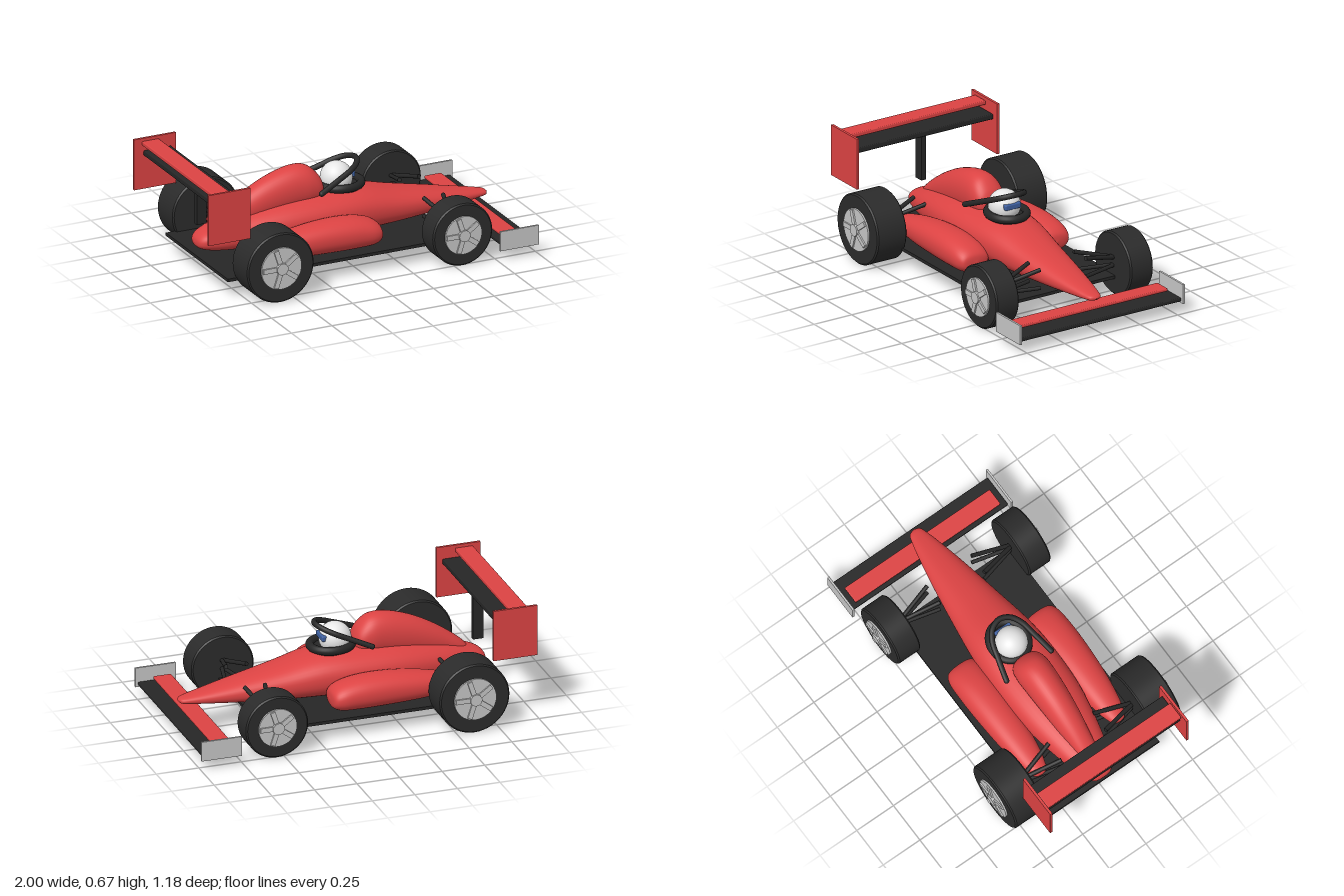
import * as THREE from 'three';
import { toCreasedNormals } from 'three/addons/utils/BufferGeometryUtils.js';
import { RoundedBoxGeometry } from 'three/addons/geometries/RoundedBoxGeometry.js';

const mat = (name, color) => {
  const m = new THREE.MeshStandardMaterial({ color });
  m.name = name;
  return m;
};

// Smooth hull through sections [x, bottom, top, halfWidth] with superellipse outlines
function loft(sections, power = 2.3, rows = 64, cols = 40) {
  const path = (k) => new THREE.CatmullRomCurve3(
    sections.map((s) => new THREE.Vector3(s[0], s[k], k === 1 ? s[2] : s[3])), false, 'centripetal');
  const heights = path(1);
  const widths = new THREE.CatmullRomCurve3(
    sections.map((s) => new THREE.Vector3(s[0], s[3], 0)), false, 'centripetal');
  const bend = (v) => Math.sign(v) * Math.abs(v) ** (2 / power);
  const pos = [], index = [];
  for (let i = 0; i <= rows; i++) {
    const h = heights.getPoint(i / rows);
    const w = Math.max(widths.getPoint(i / rows).y, 0.0005);
    const mid = (h.y + h.z) / 2, half = Math.max((h.z - h.y) / 2, 0.0005);
    for (let j = 0; j < cols; j++) {
      const t = (j / cols) * Math.PI * 2;
      pos.push(h.x, mid + half * bend(Math.sin(t)), w * bend(Math.cos(t)));
      if (i < rows) {
        const a = i * cols + j, c = i * cols + (j + 1) % cols;
        index.push(a, a + cols, c, a + cols, c + cols, c);
      }
    }
  }
  const g = new THREE.BufferGeometry();
  g.setAttribute('position', new THREE.Float32BufferAttribute(pos, 3));
  g.setIndex(index);
  g.computeVertexNormals();
  return g;
}

export function createModel() {
  const red = mat('red paint', 0xdc4343);
  const dark = mat('dark carbon', 0x262626);
  const rubber = mat('tyre rubber', 0x2b2b2b);
  const grey = mat('light grey', 0xc6c6c6);
  const white = mat('helmet white', 0xeeeeee);
  const blue = mat('visor blue', 0x3d5f9f);

  const model = new THREE.Group();
  model.name = 'racingCar';
  const add = (name, geometry, material, x = 0, y = 0, z = 0, parent = model) => {
    const m = new THREE.Mesh(geometry, material);
    m.name = name;
    m.position.set(x, y, z);
    parent.add(m);
    return m;
  };
  // Box given by its limits, symmetric in z about a centre
  const slab = (name, material, x0, x1, y0, y1, depth, z = 0) =>
    add(name, new THREE.BoxGeometry(x1 - x0, y1 - y0, depth), material, (x0 + x1) / 2, (y0 + y1) / 2, z);
  const softSlab = (name, material, x0, x1, y0, y1, depth) =>
    add(name, new RoundedBoxGeometry(x1 - x0, y1 - y0, depth, 2, 0.006), material, (x0 + x1) / 2, (y0 + y1) / 2, 0);
  const rod = (name, a, b, r) => {
    const p = new THREE.Vector3(...a), q = new THREE.Vector3(...b);
    const m = add(name, new THREE.CylinderGeometry(r, r, p.distanceTo(q), 12), dark);
    m.position.copy(p).add(q).multiplyScalar(0.5);
    m.quaternion.setFromUnitVectors(new THREE.Vector3(0, 1, 0), q.sub(p).normalize());
  };

  // Bodywork
  add('body', loft([
    [-0.855, 0.205, 0.207, 0], [-0.847, 0.182, 0.232, 0.05], [-0.82, 0.165, 0.258, 0.08],
    [-0.75, 0.15, 0.288, 0.108], [-0.6, 0.14, 0.335, 0.15], [-0.35, 0.13, 0.38, 0.195],
    [-0.1, 0.127, 0.392, 0.205], [0.12, 0.13, 0.383, 0.19], [0.36, 0.137, 0.328, 0.154],
    [0.58, 0.15, 0.283, 0.117], [0.75, 0.163, 0.248, 0.084], [0.88, 0.174, 0.221, 0.053],
    [0.93, 0.181, 0.209, 0.034], [0.945, 0.194, 0.196, 0]]), red);
  add('engineCover', loft([
    [-0.765, 0.25, 0.255, 0], [-0.74, 0.235, 0.3, 0.04], [-0.6, 0.25, 0.412, 0.07],
    [-0.42, 0.28, 0.51, 0.09], [-0.25, 0.3, 0.556, 0.1], [-0.17, 0.31, 0.545, 0.1],
    [-0.11, 0.33, 0.495, 0.085], [-0.085, 0.36, 0.45, 0.055], [-0.075, 0.4, 0.41, 0]], 2.1), red);
  const podGeometry = loft([
    [-0.64, 0.195, 0.2, 0], [-0.63, 0.175, 0.22, 0.035], [-0.57, 0.155, 0.243, 0.062],
    [-0.4, 0.135, 0.285, 0.092], [-0.18, 0.126, 0.31, 0.108], [0, 0.125, 0.303, 0.11],
    [0.1, 0.132, 0.275, 0.101], [0.138, 0.152, 0.245, 0.078], [0.15, 0.195, 0.2, 0]], 2.2);
  slab('floor', dark, -0.84, 0.57, 0.102, 0.12, 0.776);

  // Cockpit and driver
  const rim = add('cockpitRim', new THREE.TorusGeometry(0.118, 0.024, 14, 48).rotateX(Math.PI / 2), dark, 0.045, 0.404, 0);
  rim.scale.z = 0.9;
  const opening = add('cockpitOpening', new THREE.CylinderGeometry(0.115, 0.115, 0.03, 40), dark, 0.045, 0.385, 0);
  opening.scale.z = 0.9;
  add('helmet', new THREE.SphereGeometry(0.092, 32, 24), white, 0.02, 0.44, 0);
  add('visor', new RoundedBoxGeometry(0.034, 0.034, 0.106, 3, 0.008), blue, 0.097, 0.459, 0);
  const haloPoints = [[-0.145, 0.152], [-0.08, 0.137], [-0.02, 0.122], [0.06, 0.1], [0.115, 0.06], [0.138, 0],
    [0.115, -0.06], [0.06, -0.1], [-0.02, -0.122], [-0.08, -0.137], [-0.145, -0.152]]
    .map(([x, z]) => new THREE.Vector3(x, 0.481 + 0.42 * x, z));
  add('halo', new THREE.TubeGeometry(new THREE.CatmullRomCurve3(haloPoints), 64, 0.016, 12), dark);
  for (const p of [haloPoints[0], haloPoints[10]])
    add('haloEnd', new THREE.SphereGeometry(0.016, 12, 8), dark, p.x, p.y, p.z);

  // Front and rear wings
  softSlab('frontWing', dark, 0.79, 0.985, 0.07, 0.092, 1.07);
  softSlab('frontFlap', red, 0.805, 0.91, 0.114, 0.132, 0.99);
  softSlab('rearWing', dark, -0.945, -0.775, 0.574, 0.605, 0.91);
  softSlab('rearFlap', red, -0.955, -0.85, 0.635, 0.66, 0.91);
  slab('rearWingPost', dark, -0.847, -0.787, 0.31, 0.58, 0.03);

  // Wheel with axis along z, outer face towards +z
  const wheel = (name, x, y, z, r, width, rimRadius, flip) => {
    const g = new THREE.Group();
    g.name = name;
    g.position.set(x, y, z);
    g.rotation.y = flip ? Math.PI : 0;
    model.add(g);
    const h = width / 2, c = 0.008;
    const profile = [[0, -h], [r - c, -h], [r, c - h], [r, h - c], [r - c, h], [0, h]]
      .map(([a, b]) => new THREE.Vector2(a, b));
    const tyre = new THREE.LatheGeometry(profile, 48).rotateX(Math.PI / 2);
    add('tyre', toCreasedNormals(tyre, 0.5), rubber, 0, 0, 0, g);
    add('rim', new THREE.CylinderGeometry(rimRadius, rimRadius, 0.02, 40).rotateX(Math.PI / 2), grey, 0, 0, h, g);
    add('hub', new THREE.CylinderGeometry(0.034, 0.034, 0.034, 24).rotateX(Math.PI / 2), grey, 0, 0, h + 0.01, g);
    for (let i = 0; i < 5; i++) {
      const spoke = new THREE.BoxGeometry(rimRadius * 0.75, 0.028, 0.02)
        .translate(rimRadius * 0.56, 0, 0).rotateZ(Math.PI + (i * Math.PI * 2) / 5);
      add('spoke', spoke, grey, 0, 0, h + 0.009, g);
    }
  };

  for (const s of [1, -1]) {
    const side = s > 0 ? 'Near' : 'Far';
    add('sidePod' + side, podGeometry, red, 0, 0, s * 0.267);
    slab('frontEndplate' + side, grey, 0.762, 1, 0.06, 0.175, 0.012, s * 0.541);
    slab('rearEndplate' + side, red, -1, -0.743, 0.375, 0.675, 0.015, s * 0.465);
    wheel('frontWheel' + side, 0.545, 0.187, s * 0.445, 0.183, 0.15, 0.112, s < 0);
    wheel('rearWheel' + side, -0.6, 0.207, s * 0.467, 0.205, 0.195, 0.123, s < 0);
    // Wishbones, two arms above and two below at each wheel
    for (const x of [0.545, -0.6])
      for (const dx of [-0.06, 0.06]) {
        rod('upperArm' + side, [x + dx, 0.285, s * 0.15], [x, 0.218, s * 0.39], 0.012);
        rod('lowerArm' + side, [x + dx, 0.176, s * 0.15], [x, 0.176, s * 0.39], 0.011);
      }
  }
  return model;
}
